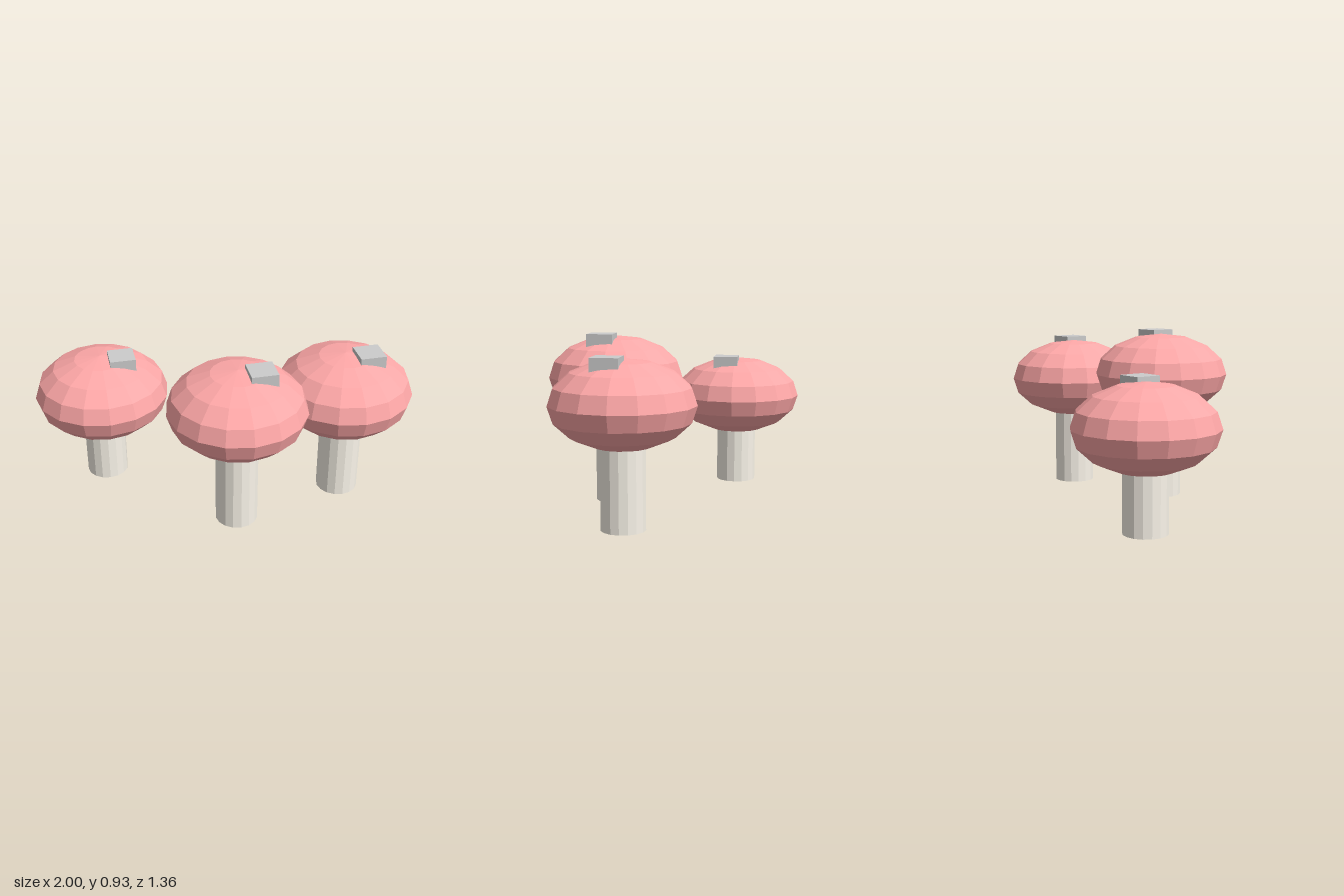
import * as THREE from 'three';

const CAP_RADIUS = 0.37;
const CAP_HALF_HEIGHT = 0.225;
const STEM_RADIUS = 0.115;

const material = (color) => new THREE.MeshStandardMaterial({ color, flatShading: true });

export function createModel() {
  const stemMaterial = material(0xfaf5ea);
  const capMaterial = material(0xffa8a8);
  const spotMaterial = material(0xcccccc);

  // One mushroom; capY is the height of the cap's widest ring
  function mushroom(name, x, capY, z) {
    const group = new THREE.Group();
    group.name = name;
    group.position.set(x, 0, z);

    // Straight stem, ending inside the cap
    const stem = new THREE.Mesh(
      new THREE.CylinderGeometry(STEM_RADIUS, STEM_RADIUS, capY, 16), stemMaterial);
    stem.name = 'stem';
    stem.position.y = capY / 2;

    // Flattened faceted cap
    const capGeometry = new THREE.SphereGeometry(1, 16, 8);
    capGeometry.scale(CAP_RADIUS, CAP_HALF_HEIGHT, CAP_RADIUS);
    const cap = new THREE.Mesh(capGeometry, capMaterial);
    cap.name = 'cap';
    cap.position.y = capY;

    // Square spot sunk into the top of the cap
    const spot = new THREE.Mesh(new THREE.BoxGeometry(0.14, 0.075, 0.14), spotMaterial);
    spot.name = 'spot';
    spot.position.set(0.113, capY + 0.205, 0.053);

    group.add(stem, cap, spot);
    return group;
  }

  const model = new THREE.Group();
  model.name = 'mushroomCluster';
  model.add(
    mushroom('shortMushroom', -0.63, 0.52, -0.308),
    mushroom('tallMushroom', 0, 0.692, 0.308),
    mushroom('mediumMushroom', 0.63, 0.628, 0.146),
  );
  return model;
}
